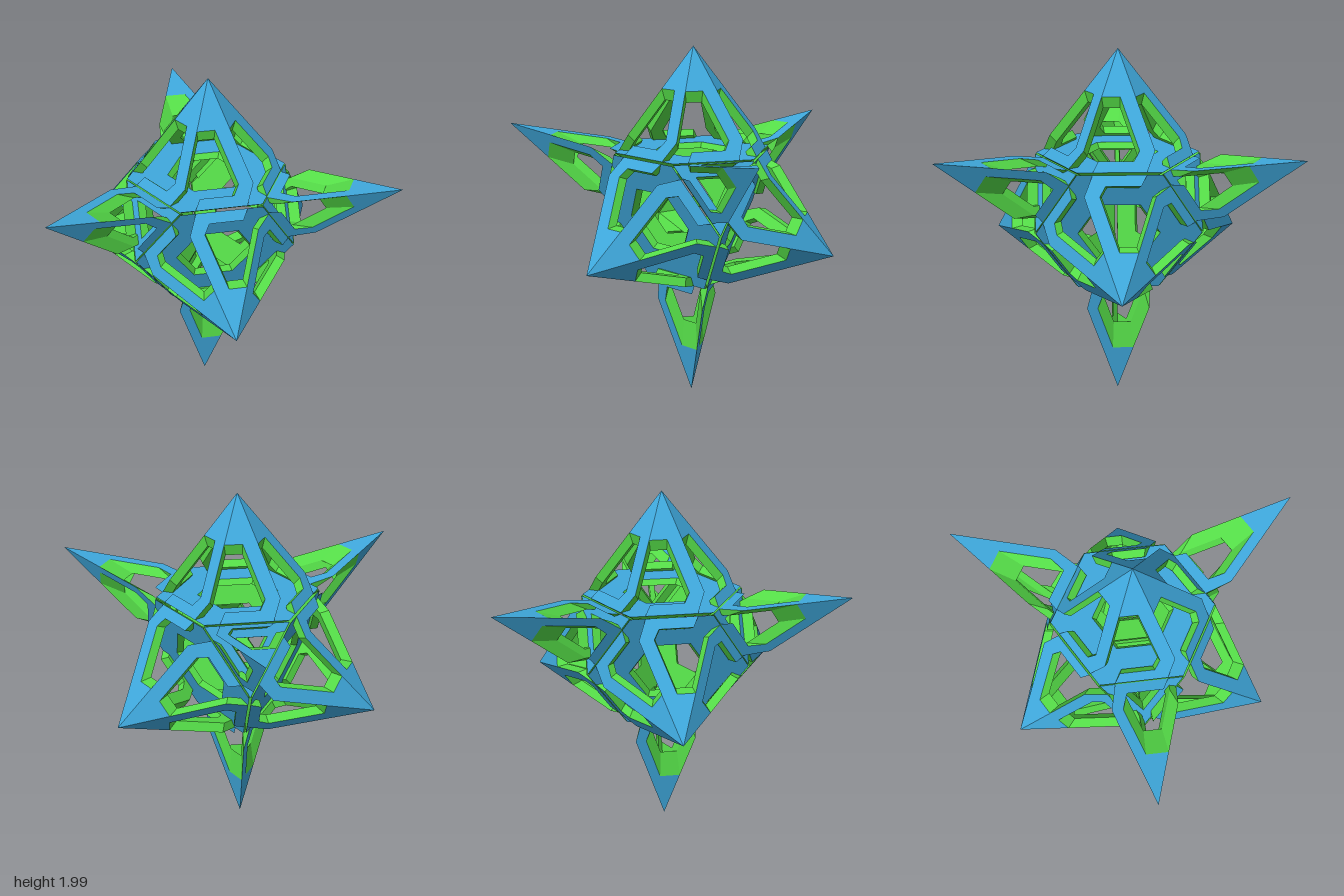
import * as THREE from 'three';

const EDGE = 0.443;            // edge of the truncated tetrahedron core
const HEX_DIST = 0.28, TRI_DIST = 0.455;
const blue = new THREE.MeshStandardMaterial({ color: 0x3fa9dd });
const green = new THREE.MeshStandardMaterial({ color: 0x55dd48 });

// Plate lying in the plane (origin, u, v), thickened radially toward the centre:
// blue outer face, green sides and inner face
function plate(name, points, origin, u, v, thickness, hole) {
  const shape = new THREE.Shape(points.map(p => new THREE.Vector2(...p)));
  if (hole) shape.holes.push(new THREE.Path(hole.map(p => new THREE.Vector2(...p))));
  const src = new THREE.ExtrudeGeometry(shape, { depth: 1, bevelEnabled: false });
  const pos = src.attributes.position;
  const outer = [], rest = [], p = new THREE.Vector3();
  for (let i = 0; i < pos.count; i += 3) {
    const isOuter = [0, 1, 2].every(j => pos.getZ(i + j) > 0.5);
    for (let j = 0; j < 3; j++) {
      p.copy(origin).addScaledVector(u, pos.getX(i + j)).addScaledVector(v, pos.getY(i + j));
      p.multiplyScalar(1 - thickness * (1 - pos.getZ(i + j)));
      (isOuter ? outer : rest).push(p.x, p.y, p.z);
    }
  }
  const group = new THREE.Group();
  group.name = name;
  [[outer, blue, 'Face'], [rest, green, 'Walls']].forEach(([list, material, suffix]) => {
    const geo = new THREE.BufferGeometry();
    geo.setAttribute('position', new THREE.Float32BufferAttribute(list, 3));
    geo.computeVertexNormals();
    const mesh = new THREE.Mesh(geo, material);
    mesh.name = name + suffix;
    group.add(mesh);
  });
  return group;
}

// Regular polygon in the plate plane
function ring(sides, radius, start) {
  return Array.from({ length: sides }, (_, i) => {
    const a = start + i * 2 * Math.PI / sides;
    return [radius * Math.sin(a), -radius * Math.cos(a)];
  });
}

// Spike along +y: each face is a tip, one arm down its right edge and a bar on the base
function spike(o) {
  const group = new THREE.Group();
  group.name = o.name;
  const r = EDGE / (2 * Math.sin(Math.PI / o.sides));
  const tip = new THREE.Vector3(0, o.tip, 0);
  const corner = i => {
    const a = o.start + i * 2 * Math.PI / o.sides;
    return new THREE.Vector3(r * Math.sin(a), o.base, r * Math.cos(a));
  };
  for (let i = 0; i < o.sides; i++) {
    const p0 = corner(i), p1 = corner(i + 1);
    const mid = p0.clone().add(p1).multiplyScalar(0.5);
    const u = p1.clone().sub(p0).normalize();
    const v = tip.clone().sub(mid);
    const H = v.length();
    v.normalize();
    const h = EDGE / 2, w = o.width, k = o.knee;
    group.add(plate('spikeFace', [
      [0, H], [-h * 0.4, H * 0.6], [h * 0.4 - w, H * 0.6],
      [h * k - w, H * (1 - k)], [h * k - w - 0.03, 0.06],
      [-0.11, 0.06], [-0.14, 0], [0.14, 0], [h * k, H * (1 - k)],
    ], mid, u, v, o.thickness));
  }
  // Core plate under the spike
  group.add(plate('corePlate', ring(o.sides, r, o.start),
    new THREE.Vector3(0, o.base, 0), new THREE.Vector3(1, 0, 0), new THREE.Vector3(0, 0, -1),
    0.11, ring(o.sides, o.hole, o.start)));
  return group;
}

export function createModel() {
  const model = new THREE.Group();
  model.name = 'openworkStar';

  // One wide six-sided spike up and one slender three-sided spike down
  const pair = new THREE.Group();
  pair.name = 'spikePair';
  pair.add(spike({
    name: 'wideSpike', sides: 6, start: Math.PI / 6, base: HEX_DIST, tip: 0.8475,
    width: 0.08, knee: 0.83, thickness: 0.1, hole: 0.22,
  }));
  const slender = spike({
    name: 'slenderSpike', sides: 3, start: 0, base: TRI_DIST, tip: 1.1425,
    width: 0.06, knee: 0.785, thickness: 0.18, hole: 0.12,
  });
  slender.rotation.z = Math.PI;
  pair.add(slender);
  model.add(pair);

  // Half turns about the two-fold axes place the other three pairs
  for (let i = 0; i < 3; i++) {
    const a = Math.PI + i * 2 * Math.PI / 3;
    const c = Math.sqrt(8) / 3;
    const axis = new THREE.Vector3(c * Math.sin(a), 1 - 1 / 3, c * Math.cos(a)).normalize();
    const copy = pair.clone();
    copy.quaternion.setFromAxisAngle(axis, Math.PI);
    model.add(copy);
  }
  model.children.forEach(g => g.position.set(0, 1.1525, -0.135));
  return model;
}
